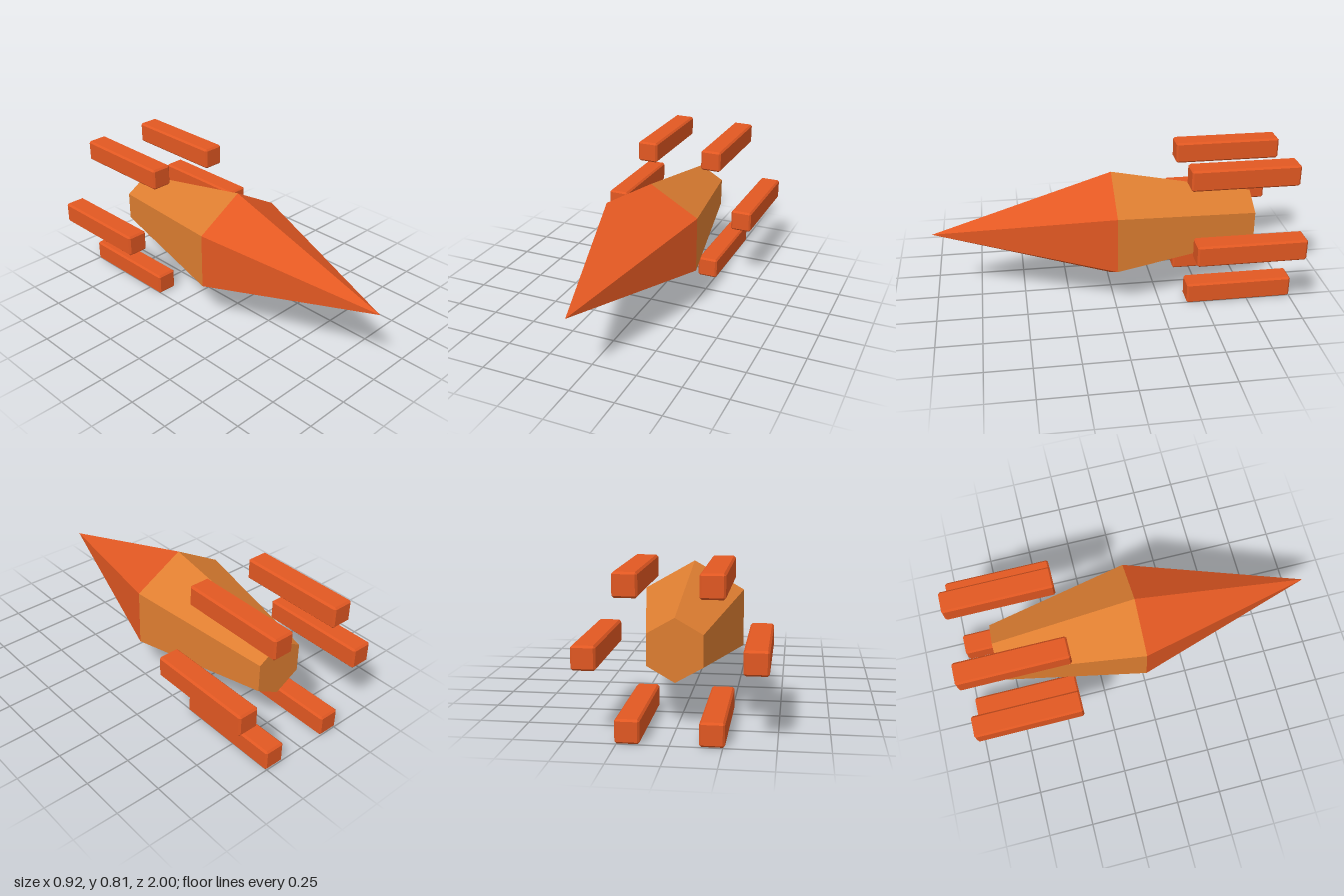
import * as THREE from 'three';
import { ConvexGeometry } from 'three/addons/geometries/ConvexGeometry.js';

const CENTRE_Y = 0.407;

// Box with every edge cut by a small flat chamfer
function chamferedBox(w, h, d, c) {
  const points = [];
  for (const x of [-w / 2, w / 2])
    for (const y of [-h / 2, h / 2])
      for (const z of [-d / 2, d / 2]) {
        const sx = Math.sign(x) * c, sy = Math.sign(y) * c, sz = Math.sign(z) * c;
        points.push(
          new THREE.Vector3(x, y - sy, z - sz),
          new THREE.Vector3(x - sx, y, z - sz),
          new THREE.Vector3(x - sx, y - sy, z),
        );
      }
  return new ConvexGeometry(points);
}

export function createModel() {
  const group = new THREE.Group();
  const red = new THREE.MeshStandardMaterial({ color: 0xe25822 });
  red.name = 'flameRed';
  red.flatShading = true;
  const orange = new THREE.MeshStandardMaterial({ color: 0xde7e31 });
  orange.name = 'warmOrange';
  orange.flatShading = true;

  const add = (name, geometry, material, x, y, z) => {
    const mesh = new THREE.Mesh(geometry, material);
    mesh.name = name;
    mesh.position.set(x, y, z);
    group.add(mesh);
  };

  // Six-sided nose and tapering hull, both lying along z
  const nose = new THREE.ConeGeometry(0.32, 1, 6, 1, true).rotateX(Math.PI / 2);
  add('nose', nose, red, 0, CENTRE_Y, 0.5);
  const hull = new THREE.CylinderGeometry(0.32, 0.16, 0.8, 6).rotateX(Math.PI / 2);
  add('hull', hull, orange, 0, CENTRE_Y, -0.4);

  // Ring of six upright bars floating around the tail
  const bar = chamferedBox(0.12, 0.12, 0.6, 0.01);
  for (let i = 0; i < 6; i++) {
    const a = (i * Math.PI) / 3;
    add(`thrusterBar${i + 1}`, bar, red, 0.4 * Math.cos(a), CENTRE_Y + 0.4 * Math.sin(a), -0.7);
  }
  return group;
}
